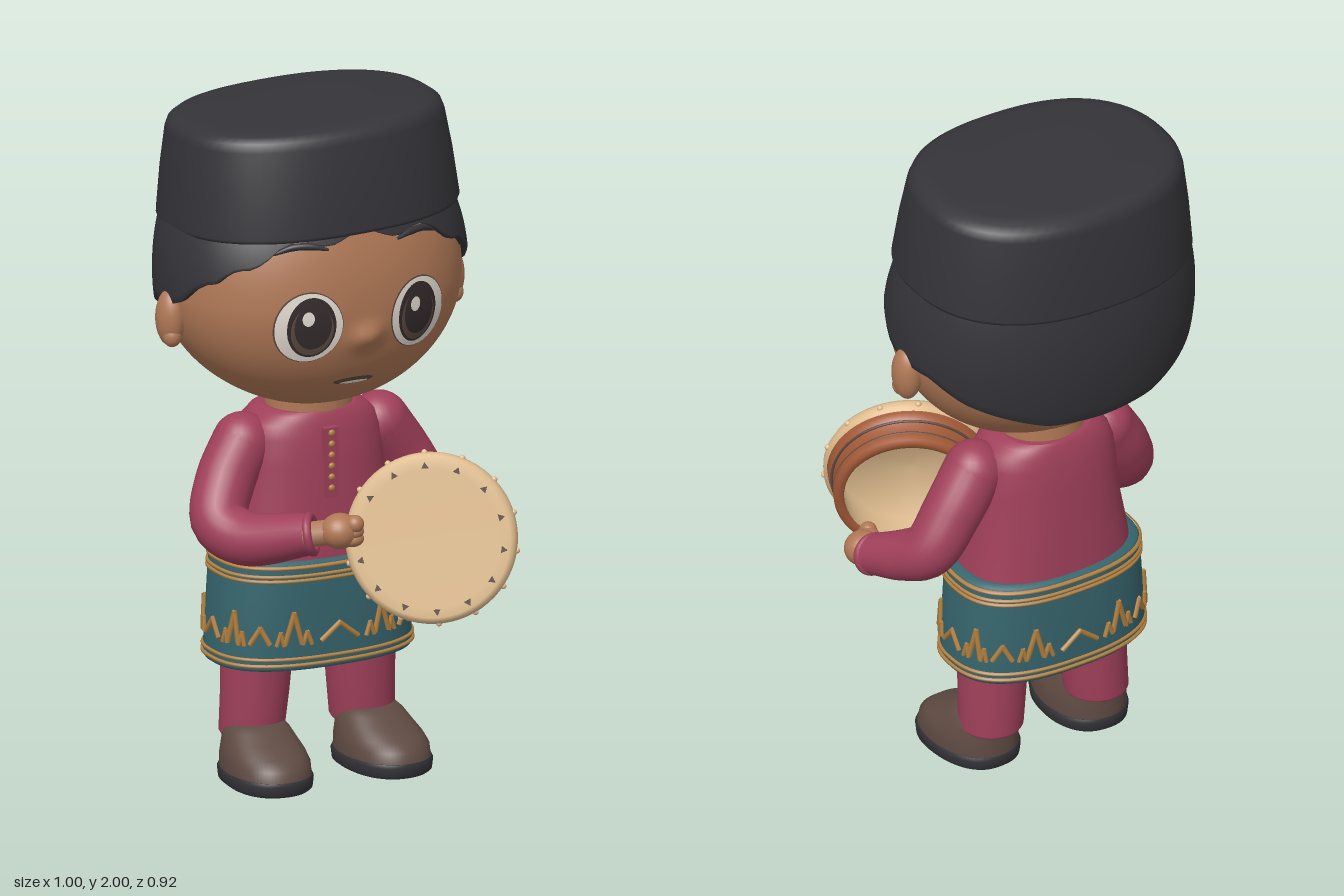
import * as THREE from 'three';
import { mergeGeometries } from 'three/addons/utils/BufferGeometryUtils.js';

const mat = (name, color, side = THREE.FrontSide) => {
  const m = new THREE.MeshStandardMaterial({ color, side });
  m.name = name;
  return m;
};
const V = (x, y, z) => new THREE.Vector3(x, y, z);
const pw = (v, n) => Math.sign(v) * Math.abs(v) ** (2 / n);

// Stack of superellipse rings [y, rx, rz, centreX, centreZ, exponent], bottom to top
function loft(rings, caps = true, S = 64) {
  const pos = [], idx = [];
  const ring = ([y, rx, rz, cx = 0, cz = 0, n = 2]) => {
    for (let i = 0; i < S; i++) {
      const a = (i / S) * Math.PI * 2;
      pos.push(cx + rx * pw(Math.sin(a), n), y, cz + rz * pw(Math.cos(a), n));
    }
  };
  rings.forEach(ring);
  for (let j = 0; j < rings.length - 1; j++) for (let i = 0; i < S; i++) {
    const a = j * S + i, b = j * S + (i + 1) % S;
    idx.push(a, b, b + S, a, b + S, a + S);
  }
  if (caps) [rings[0], rings[rings.length - 1]].forEach((r, top) => {
    const s = pos.length / 3;
    ring(r);
    pos.push(r[3] ?? 0, r[0], r[4] ?? 0);
    for (let i = 0; i < S; i++) {
      const a = s + i, b = s + (i + 1) % S;
      idx.push(s + S, ...(top ? [a, b] : [b, a]));
    }
  });
  return build(pos, idx);
}
function build(pos, idx) {
  const g = new THREE.BufferGeometry();
  g.setAttribute('position', new THREE.Float32BufferAttribute(pos, 3));
  g.setIndex(idx);
  g.computeVertexNormals();
  return g;
}

// Tube whose radius changes along its path
function limb(points, radii) {
  const curve = new THREE.CatmullRomCurve3(points), seg = 28, rad = 24;
  const g = new THREE.TubeGeometry(curve, seg, 1, rad), p = g.attributes.position;
  const v = V(0, 0, 0);
  for (let i = 0; i < p.count; i++) {
    const t = Math.floor(i / (rad + 1)) / seg, c = curve.getPointAt(t);
    const f = t * (radii.length - 1), k = Math.min(Math.floor(f), radii.length - 2);
    const r = THREE.MathUtils.lerp(radii[k], radii[k + 1], f - k);
    v.fromBufferAttribute(p, i).sub(c).multiplyScalar(r).add(c);
    p.setXYZ(i, v.x, v.y, v.z);
  }
  return g;
}
const aim = (g, dir) => g.applyQuaternion(new THREE.Quaternion().setFromUnitVectors(V(0, 1, 0), dir.clone().normalize()));
function rod(a, b, r) {
  const d = b.clone().sub(a), m = a.clone().add(b).multiplyScalar(0.5);
  return aim(new THREE.CylinderGeometry(r, r, d.length() + r, 6), d).translate(m.x, m.y, m.z);
}
const ball = (c, rx, ry = rx, rz = rx) => new THREE.SphereGeometry(1, 24, 16).scale(rx, ry, rz).translate(c.x, c.y, c.z);

// Head shape: ring radii at a height, and the face surface above a point
const headK = y => Math.sqrt(Math.max(0, 1 - ((y - 1.48) / (y < 1.48 ? 0.365 : 0.45)) ** 2));
const headRing = y => { const k = headK(y); return [y, 0.445 * k, 0.36 * k, 0, -0.085 + 0.05 * (1 - k), 2.15]; };
function faceZ(x, y) {
  const [, rx, rz, , cz, n] = headRing(y);
  return cz + rz * Math.max(0, 1 - Math.abs(x / rx) ** n) ** (1 / n);
}
function headGeometry() {
  const rows = [];
  for (let i = 0; i <= 36; i++) rows.push(headRing(1.48 - 0.364 * Math.cos(i / 36 * Math.PI / 2)));
  for (let i = 1; i <= 6; i++) rows.push(headRing(1.48 + i * 0.036));
  const g = loft(rows, true, 144), p = g.attributes.position;
  // soft button nose raised out of the face
  for (let i = 0; i < p.count; i++) if (p.getZ(i) > 0) {
    const d = (p.getX(i) / 0.045) ** 2 + ((p.getY(i) - 1.385) / 0.036) ** 2;
    p.setZ(i, p.getZ(i) + 0.03 * Math.exp(-d));
  }
  g.computeVertexNormals();
  return g;
}
function facePatch(cx, cy, rx, ry, off) {
  const pos = [cx, cy, faceZ(cx, cy) + off], idx = [], S = 36, R = 5;
  for (let j = 1; j <= R; j++) for (let i = 0; i < S; i++) {
    const a = (i / S) * Math.PI * 2, x = cx + rx * j / R * Math.cos(a), y = cy + ry * j / R * Math.sin(a);
    pos.push(x, y, faceZ(x, y) + off);
    const q = 1 + (j - 1) * S + i, w = 1 + (j - 1) * S + (i + 1) % S;
    if (j === 1) idx.push(0, q, w);
    else idx.push(q - S, q, w, q - S, w, w - S);
  }
  return build(pos, idx);
}

// Hair shell with a hairline that drops from brow to nape
const hairline = [[0, 1.685], [0.6, 1.665], [0.8, 1.6], [1.03, 1.565], [1.23, 1.53], [1.4, 1.475], [1.55, 1.455], [1.85, 1.45], [2.14, 1.39], [2.76, 1.305], [3.15, 1.295]];
function hairGeometry() {
  const S = 96, T = 14, pos = [], idx = [];
  for (let j = 0; j <= T; j++) for (let i = 0; i < S; i++) {
    const a = (i / S) * Math.PI * 2, u = Math.min(a, Math.PI * 2 - a);
    const h = Math.max(0, hairline.findIndex(p => p[0] > u) - 1), [a0, y0] = hairline[h], [a1, y1] = hairline[h + 1];
    let low = y0 + (y1 - y0) * (u - a0) / (a1 - a0);
    if (u < 1.1) low += 0.012 * Math.cos(u * 14);
    const t = Math.max(0, j - 2) / (T - 2), y = low + (1.705 - low) * t;
    const b = Math.min(1, (1 - Math.cos(a)) * 0.7), k = headK(y);
    const full = 0.99 - 1.5 * (y - 1.52) ** 2;
    const f = (k + (full - k) * b) * ([0.84, 0.98][j] ?? 1);
    pos.push(0.468 * f * pw(Math.sin(a), 2.15), y, -0.085 + (0.368 + 0.006 * b) * f * pw(Math.cos(a), 2.15));
    if (j < T) {
      const q = j * S + i, w = j * S + (i + 1) % S;
      idx.push(q, w, w + S, q, w + S, q + S);
    }
  }
  return build(pos, idx);
}

export function createModel() {
  const root = new THREE.Group();
  const charcoal = mat('charcoal', 0x343439, THREE.DoubleSide), skin = mat('skin', 0xb07856);
  const tunic = mat('tunic red', 0xa0405a), teal = mat('teal cloth', 0x36656d), gold = mat('gold', 0xb07f40);
  const brown = mat('shoe brown', 0x5e4a42), hide = mat('drum hide', 0xe0bd8f, THREE.DoubleSide);
  const wood = mat('drum wood', 0xa35a38), white = mat('eye white', 0xe8e0d6), dark = mat('eye dark', 0x352c2c);
  const add = (name, geo, material, parent = root) => {
    const m = new THREE.Mesh(geo, material);
    m.name = name;
    parent.add(m);
    return m;
  };

  // Head, face and ears
  add('head', headGeometry(), skin);
  add('mouth', facePatch(-0.008, 1.238, 0.064, 0.012, 0.004), brown);
  add('teeth', facePatch(-0.008, 1.233, 0.045, 0.005, 0.007), white);
  for (const s of [-1, 1]) {
    const x = s * 0.175, ix = s * 0.17;
    add('eyeOutline', facePatch(x, 1.43, 0.098, 0.109, 0.002), brown);
    add('eyeWhite', facePatch(x, 1.43, 0.095, 0.106, 0.005), white);
    add('iris', facePatch(ix, 1.432, 0.069, 0.092, 0.008), dark);
    add('irisGlow', facePatch(ix, 1.424, 0.06, 0.077, 0.011), brown);
    add('pupil', facePatch(ix, 1.437, 0.052, 0.07, 0.014), dark);
    add('eyeHighlight', facePatch(ix - 0.016, 1.463, 0.017, 0.022, 0.017), white);
    const brow = [0.11, 0.16, 0.21, 0.26].map((u, i) => V(s * u, [1.655, 1.668, 1.667, 1.645][i], faceZ(u, 1.66) + 0.002));
    add('eyebrow', limb(brow, [0.004, 0.011, 0.01, 0.004]), charcoal);
    add('ear', ball(V(s * 0.45, 1.41, -0.085), 0.042, 0.085, 0.05), skin);
    add('earLobe', ball(V(s * 0.455, 1.36, -0.065), 0.027, 0.032, 0.028), skin);
  }
  add('hair', hairGeometry(), charcoal);

  // Tall brimless cap, slightly tilted
  const cap = add('cap', loft([[0, 0.41, 0.325], [0.004, 0.434, 0.345], [0.015, 0.438, 0.35], [0.15, 0.424, 0.332],
    [0.265, 0.407, 0.312], [0.29, 0.398, 0.303], [0.305, 0.378, 0.284], [0.313, 0.34, 0.25], [0.319, 0.2, 0.14]]
    .map(([y, a, b]) => [y, a, b, 0, 0, 2.35])), charcoal);
  cap.position.set(0, 1.675, -0.098);
  cap.rotation.set(-0.03, 0, 0.025);

  // Neck and tunic
  add('neck', loft([[1.04, 0.13, 0.12, 0, -0.095], [1.18, 0.125, 0.115, 0, -0.09]]), skin);
  add('tunicBody', loft([[0.6, 0.27, 0.18], [0.7, 0.255, 0.175], [0.82, 0.232, 0.165], [0.94, 0.22, 0.158], [1.02, 0.212, 0.148],
    [1.06, 0.195, 0.138], [1.085, 0.165, 0.13], [1.095, 0.135, 0.123]].map(([y, a, b]) => [y, a, b, 0, -0.1, 2.4])), tunic);
  add('placket', new THREE.BoxGeometry(0.045, 0.21, 0.02).translate(-0.008, 0.95, 0.055), tunic);
  for (let i = 0; i < 6; i++) add('button', ball(V(-0.008, 0.875 + i * 0.033, 0.066), 0.01, 0.01, 0.007), gold);

  // Arms: sleeve path, then a loosely closed hand
  const arm = (side, path, palm, grip) => {
    const g = new THREE.Group();
    g.name = side + 'Arm';
    root.add(g);
    add('sleeve', limb(path, [0.088, 0.087, 0.084, 0.08, 0.072, 0.06]), tunic, g);
    add('shoulder', ball(path[0], 0.088), tunic, g);
    const wrist = path[path.length - 1], dir = palm.clone().sub(wrist);
    add('cuff', aim(new THREE.TorusGeometry(0.052, 0.013, 12, 28).rotateX(Math.PI / 2), dir).translate(wrist.x, wrist.y, wrist.z), tunic, g);
    add('wrist', rod(wrist.clone().addScaledVector(dir, -0.3), palm, 0.04), skin, g);
    add('palm', ball(palm, 0.056, 0.052, 0.054), skin, g);
    for (let i = -1; i <= 1; i++) {
      const c = palm.clone().addScaledVector(grip, 0.035).add(V(0, i * 0.022, 0));
      add('finger', ball(c, 0.035, 0.024, 0.035), skin, g);
    }
    const th = palm.clone().addScaledVector(grip, 0.025).add(V(side === 'right' ? 0.01 : -0.02, 0.026, 0.022));
    add('thumb', ball(th, 0.026, 0.026, 0.026), skin, g);
  };
  arm('right', [V(-0.215, 1.0, -0.09), V(-0.28, 0.9, -0.07), V(-0.325, 0.8, -0.02), V(-0.29, 0.765, 0.06), V(-0.16, 0.805, 0.23)],
    V(-0.095, 0.82, 0.282), V(0.85, 0, 0.5));
  arm('left', [V(0.225, 1.0, -0.09), V(0.305, 0.89, -0.1), V(0.375, 0.78, -0.09), V(0.405, 0.73, -0.02), V(0.44, 0.675, 0.105)],
    V(0.436, 0.66, 0.168), V(-0.75, 0, 0.5));

  // Wrapped cloth with gold bands and a row of peaks
  const clothR = y => 0.31 - 0.02 * (y - 0.36) / 0.3;
  const clothRing = (y, off) => [y, clothR(y) + off, 0.197 + off, 0, -0.1, 2.5];
  add('wrapCloth', loft([clothRing(0.345, -0.02), clothRing(0.35, -0.005), clothRing(0.36, 0), clothRing(0.5, 0), clothRing(0.655, 0),
    clothRing(0.667, -0.006), clothRing(0.672, -0.025)]), teal);
  for (const y of [0.366, 0.385, 0.618, 0.632, 0.657])
    add('goldBand', loft([clothRing(y - 0.006, -0.002), clothRing(y - 0.003, 0.006), clothRing(y + 0.003, 0.006), clothRing(y + 0.006, -0.002)], false), gold);
  const onCloth = (a, y) => V((clothR(y) + 0.003) * pw(Math.sin(a), 2.5), y, -0.1 + 0.2 * pw(Math.cos(a), 2.5));
  const peaks = [];
  for (let i = 0; i < 16; i++) {
    const a = i / 16 * Math.PI * 2, tall = i % 2, w = tall ? 0.085 : 0.12;
    for (const s of [-1, 1]) {
      peaks.push(rod(onCloth(a + s * w, 0.435), onCloth(a, tall ? 0.522 : 0.48), 0.008));
      if (tall) peaks.push(rod(onCloth(a + s * 0.1, 0.43), onCloth(a + s * 0.14, 0.465), 0.007),
        rod(onCloth(a + s * 0.14, 0.465), onCloth(a + s * 0.18, 0.43), 0.007));
    }
  }
  add('peakPattern', mergeGeometries(peaks), gold);

  // Legs and shoes
  for (const s of [-1, 1]) {
    add('trouserLeg', loft([[0.12, 0.088, 0.09, s * 0.178, -0.105], [0.13, 0.094, 0.096, s * 0.178, -0.105],
      [0.25, 0.1, 0.097, s * 0.17, -0.1], [0.4, 0.108, 0.1, s * 0.165, -0.095]]), tunic);
    const shoe = new THREE.Group();
    shoe.name = 'shoe';
    shoe.position.x = s * 0.188;
    shoe.rotation.y = s * 0.08;
    root.add(shoe);
    add('sole', loft([[0, 0.112, 0.16], [0.008, 0.122, 0.17], [0.035, 0.125, 0.173], [0.045, 0.12, 0.169]].map(r => [...r, 0, 0, 2.3])), charcoal, shoe);
    add('shoeUpper', loft([[0.04, 0.121, 0.169, 0, 0], [0.075, 0.12, 0.164, 0, -0.004], [0.1, 0.113, 0.147, 0, -0.018], [0.125, 0.103, 0.12, 0, -0.043],
      [0.15, 0.092, 0.096, 0, -0.062], [0.165, 0.078, 0.076, 0, -0.07], [0.17, 0.05, 0.05, 0, -0.07]].map(r => [...r, 2.2])), brown, shoe);
  }

  // Frame drum, open at the back
  const drum = new THREE.Group();
  drum.name = 'drum';
  drum.position.set(0.172, 0.772, 0.335);
  drum.quaternion.setFromUnitVectors(V(0, 1, 0), V(-0.51, 0.19, 0.84).normalize());
  root.add(drum);
  const lathe = pts => new THREE.LatheGeometry(pts.map(p => new THREE.Vector2(...p)), 64);
  add('drumHead', lathe([[0.238, -0.04], [0.247, -0.032], [0.247, -0.012], [0.24, 0.002], [0.228, 0.008], [0.2, 0.006], [0, 0.006]]), hide, drum);
  add('drumLining', lathe([[0.19, -0.14], [0.2, -0.03], [0, -0.02]]), hide, drum);
  add('drumFrame', lathe([[0.19, -0.138], [0.195, -0.148], [0.212, -0.148], [0.22, -0.14], [0.222, -0.115], [0.215, -0.11],
    [0.217, -0.07], [0.23, -0.065], [0.234, -0.045], [0.236, -0.02]]), wood, drum);
  for (const [r, y] of [[0.218, -0.11], [0.224, -0.068]])
    add('drumGroove', new THREE.TorusGeometry(r, 0.004, 8, 64).rotateX(Math.PI / 2).translate(0, y, 0), brown, drum);
  for (let i = 0; i < 14; i++) {
    const a = i / 14 * Math.PI * 2, x = Math.sin(a), z = Math.cos(a);
    add('drumStud', ball(V(0.247 * x, -0.022, 0.247 * z), 0.009), hide, drum);
    add('drumMark', new THREE.CylinderGeometry(0.012, 0.012, 0.006, 3).rotateY(a).translate(0.21 * x, 0.008, 0.21 * z), brown, drum);
  }
  return root;
}
